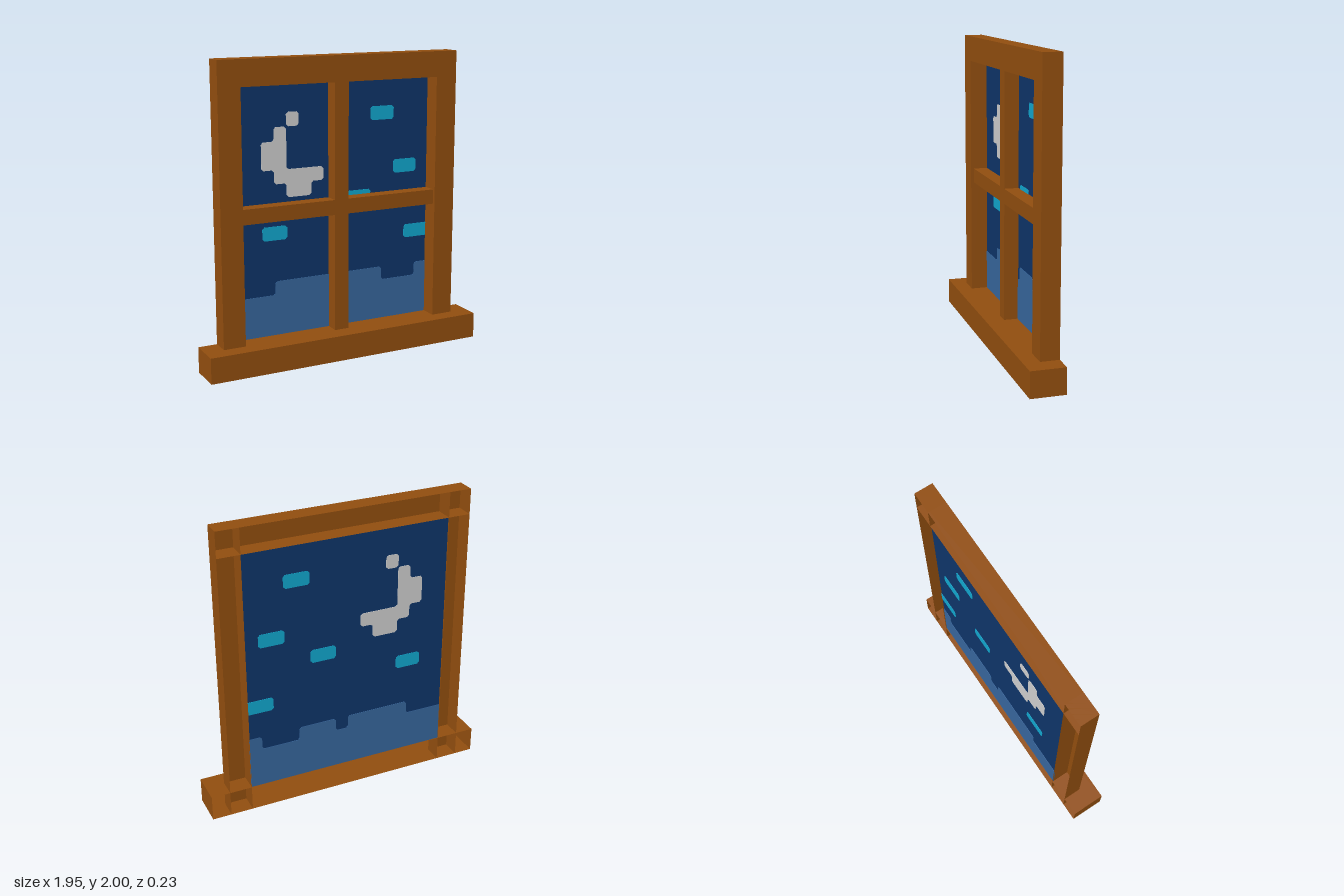
import * as THREE from 'three';

const mat = (name, color) => new THREE.MeshStandardMaterial({ name, color, side: THREE.DoubleSide });

export function createModel() {
  const group = new THREE.Group();
  const wood = mat('wood brown', 0x904d0e);
  const sky = mat('night blue', 0x0e3468);
  const hill = mat('hill blue', 0x36659b);
  const moon = mat('moon grey', 0xcccccc);
  const star = mat('star cyan', 0x10a5cc);
  const BACK = -0.115, PANE = -0.107;

  const add = (name, geometry, material) => {
    const mesh = new THREE.Mesh(geometry, material);
    mesh.name = name;
    group.add(mesh);
    return mesh;
  };

  // Wooden beam: a box with no back face
  const beam = (name, x0, x1, y0, y1, z1, z0 = BACK) => {
    const g = new THREE.BoxGeometry(x1 - x0, y1 - y0, z1 - z0);
    g.setIndex(Array.from(g.index.array).slice(0, 30));
    g.clearGroups();
    g.translate((x0 + x1) / 2, (y0 + y1) / 2, (z0 + z1) / 2);
    add(name, g, wood);
  };

  // Sill, outer frame and glazing bars
  beam('sill', -0.977, 0.977, 0, 0.172, 0.115);
  beam('rightPost', -0.85, -0.7, 0, 2, 0.01);
  beam('leftPost', 0.7, 0.85, 0, 2, 0.01);
  beam('topRail', -0.85, 0.85, 1.83, 2, 0.01);
  beam('verticalBar', -0.05, 0.05, 0.172, 1.83, -0.01, PANE);
  beam('horizontalBar', -0.7, 0.7, 0.963, 1.063, -0.01, PANE);

  // Night sky pane
  const pane = add('skyPane', new THREE.PlaneGeometry(1.4, 1.66), sky);
  pane.position.set(0, 1, PANE);

  // Painted patch: corners in a 16 x 18 grid on the pane, with clipped corners
  const CW = 1.4 / 16, CH = 1.66 / 18, CLIP = 0.014;
  const patch = (name, material, corners) => {
    const pts = corners.map(([c, r]) => new THREE.Vector2(-0.7 + c * CW, 0.17 + r * CH));
    const outline = [];
    pts.forEach((p, i) => {
      const onEdge = Math.abs(p.x) > 0.699 || p.y < 0.171;
      if (onEdge) { outline.push(p); return; }
      for (const q of [pts.at(i - 1), pts[(i + 1) % pts.length]]) {
        outline.push(p.clone().add(q.clone().sub(p).setLength(CLIP)));
      }
    });
    const g = new THREE.ExtrudeGeometry(new THREE.Shape(outline), { depth: 0.006, bevelEnabled: false });
    add(name, g, material).position.z = PANE - 0.003;
  };
  const rect = (c0, c1, r0, r1) => [[c0, r0], [c1, r0], [c1, r1], [c0, r1]];

  // Stepped hills
  patch('hills', hill, [
    [0, 0], [16, 0], [16, 4], [15, 4], [15, 3], [12, 3], [12, 4],
    [9, 4], [9, 3], [8, 3], [8, 4], [3, 4], [3, 3], [0, 3],
  ]);

  // Crescent moon and its upper tip
  patch('moon', moon, [
    [4, 10], [6, 10], [6, 11], [7, 11], [7, 12], [4, 12], [4, 15],
    [3, 15], [3, 14], [2, 14], [2, 12], [3, 12], [3, 11], [4, 11],
  ]);
  patch('moonTip', moon, rect(4, 5, 15, 16));

  // Stars, each two cells wide
  for (const [c, r] of [[11, 15], [13, 11], [9, 9], [2, 7], [14, 6]]) {
    patch('star', star, rect(c, c + 2, r, r + 1));
  }

  return group;
}
